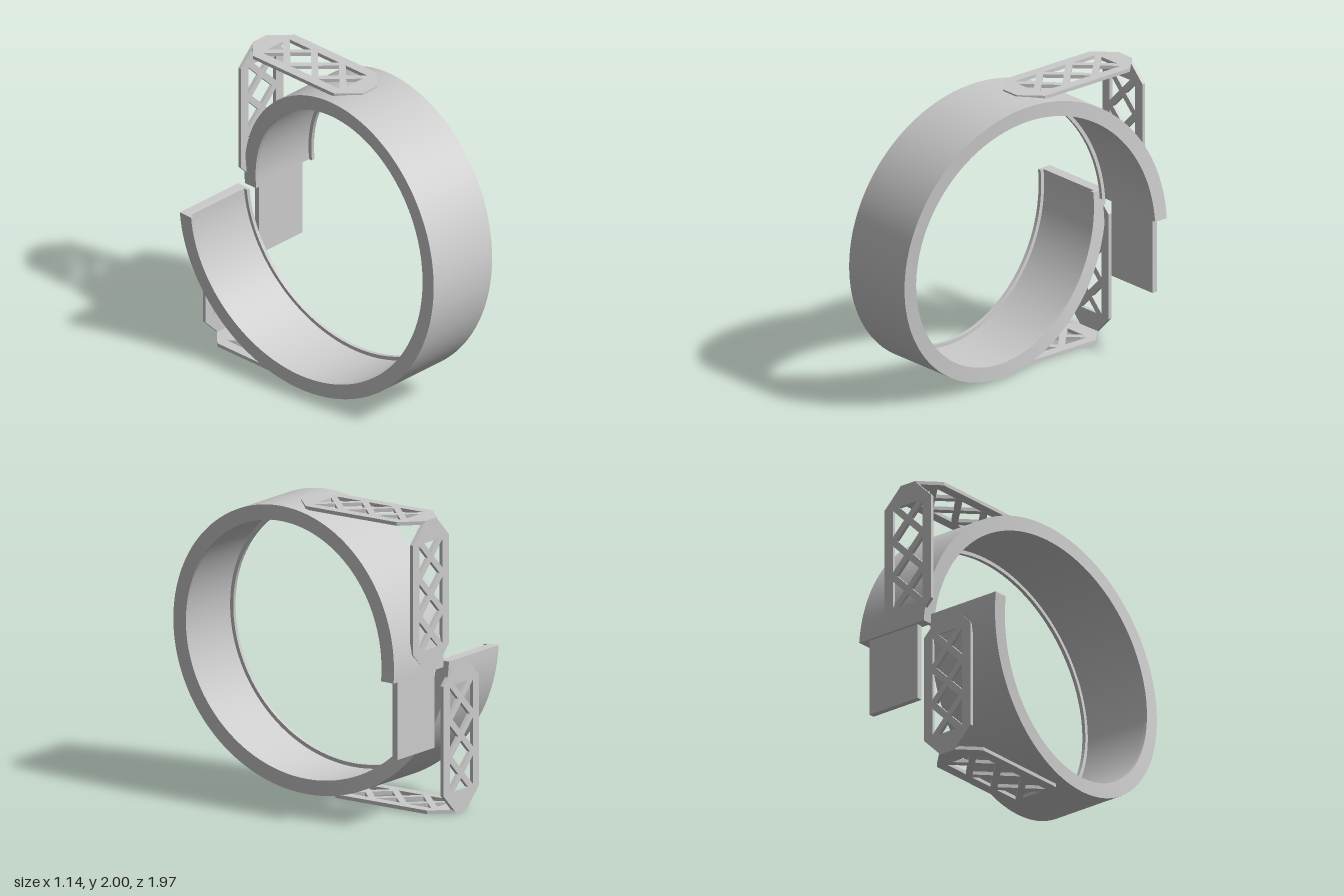
import * as THREE from 'three';
import { toCreasedNormals } from 'three/addons/utils/BufferGeometryUtils.js';

const CY = 1.005, R = 0.985;
const mat = new THREE.MeshStandardMaterial({ color: 0xcccccc });

const poly = (pts, C = THREE.Shape) => new C(pts.map(([x, y]) => new THREE.Vector2(x, y)));

function add(parent, name, geo) {
  const mesh = new THREE.Mesh(geo, mat);
  mesh.name = name;
  parent.add(mesh);
  return mesh;
}

// Channel profile (across, radius) swept along one turn of a helix
function bandGeometry() {
  const w = 0.27, lip = 0.025, inner = 0.885, floor = 0.91;
  const profile = poly([[-w, inner], [-w + lip, inner], [-w + lip, floor], [w - lip, floor],
    [w - lip, inner], [w, inner], [w, R], [-w, R]]);
  const geo = new THREE.ExtrudeGeometry(profile, { depth: 1, steps: 180, bevelEnabled: false });
  const p = geo.attributes.position;
  for (let i = 0; i < p.count; i++) {
    const r = p.getY(i), t = p.getZ(i) * 1.004 - 0.002, a = t * Math.PI * 2;
    p.setXYZ(i, 0.3 - 0.6 * t + p.getX(i), CY + r * Math.sin(a), -r * Math.cos(a));
  }
  return toCreasedNormals(geo, 0.5);
}

// Octagonal plate with a diagonal lattice, lying in XY and centred
function latticeGeometry() {
  const w = 0.195, h = 0.4925, c = 0.13, thick = 0.024;
  const shape = poly([[w, -h + c], [w, h - c], [w - c, h], [-w + c, h],
    [-w, h - c], [-w, -h + c], [-w + c, -h], [w - c, -h]]);
  const d = 0.094, gap = 0.031, side = 0.125, end = 0.355;
  const hole = (pts) => shape.holes.push(poly(pts, THREE.Path));
  for (const y of [-0.125, 0.125]) hole([[d, y], [0, y + d], [-d, y], [0, y - d]]);
  for (const y of [-0.25, 0, 0.25])
    for (const s of [-1, 1]) hole([[s * gap, y], [s * side, y + d], [s * side, y - d]]);
  for (const s of [-1, 1]) {
    const tip = 0.25 + gap, half = end - tip;
    hole([[0, s * tip], [half, s * end], [-half, s * end]]);
  }
  const geo = new THREE.ExtrudeGeometry(shape, { depth: thick, bevelEnabled: false });
  geo.translate(0, 0, -thick / 2);
  return geo;
}

export function createModel() {
  const model = new THREE.Group();
  model.name = 'spiralBand';
  add(model, 'band', bandGeometry());

  // Flat tongue hanging from the upper end of the band
  const tab = add(model, 'tab', new THREE.BoxGeometry(0.4, 0.54, 0.04));
  tab.position.set(0.3, 0.74, -0.945);

  // A horizontal and a vertical lattice plate, repeated half a turn round below
  const lattice = latticeGeometry();
  for (const name of ['upper', 'lower']) {
    const pair = new THREE.Group();
    pair.name = name + 'Brackets';
    const flat = add(pair, name + 'FlatLattice', lattice);
    flat.rotation.x = Math.PI / 2;
    flat.position.set(0.165, 0.988, -0.4925);
    const upright = add(pair, name + 'UprightLattice', lattice);
    upright.position.set(0.165, 0.5, -0.973);
    pair.position.y = 1;
    if (name === 'lower') pair.rotation.z = Math.PI;
    model.add(pair);
  }
  return model;
}
